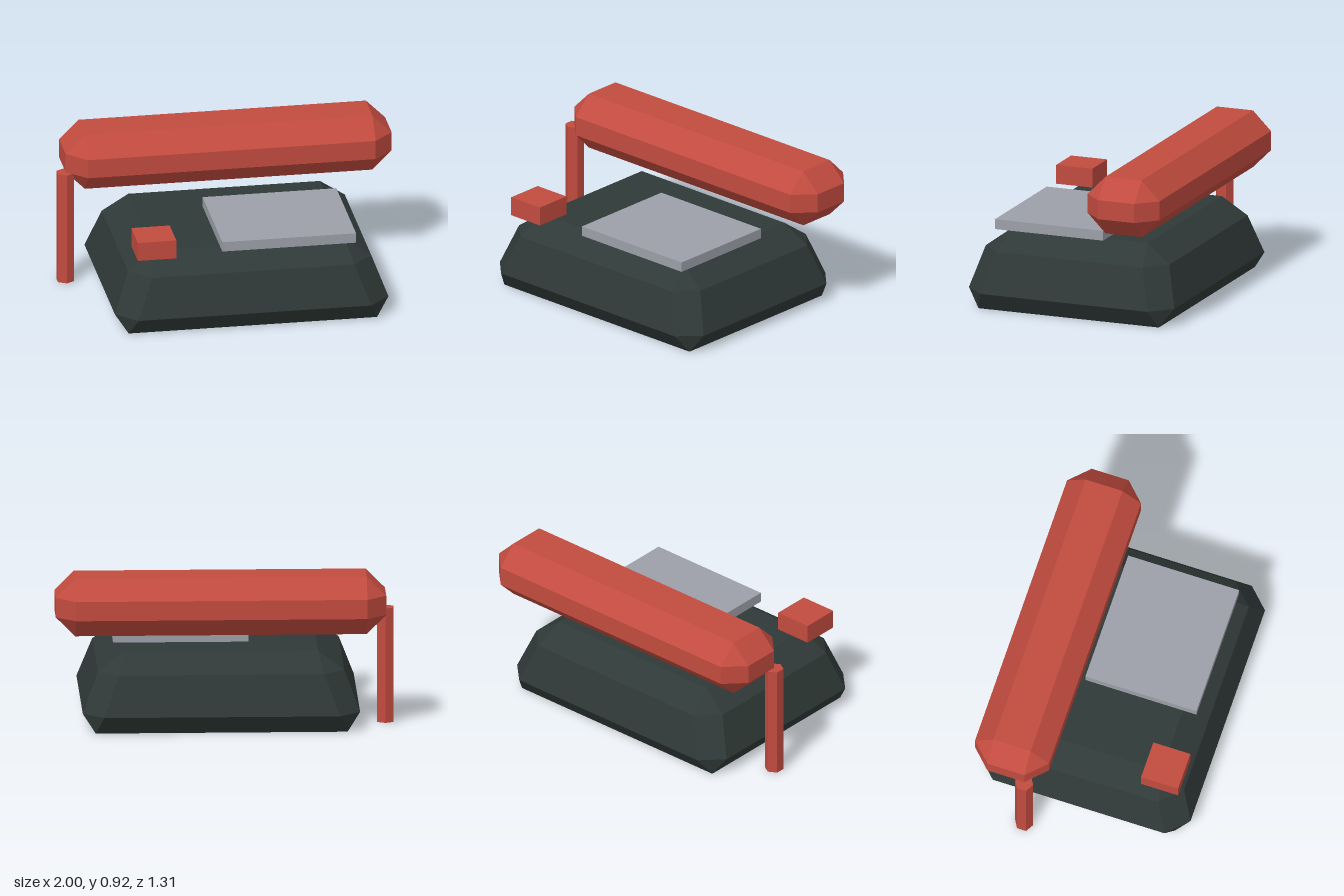
import * as THREE from 'three';
import { ConvexGeometry } from 'three/addons/geometries/ConvexGeometry.js';

const red = new THREE.MeshStandardMaterial({ name: 'red', color: 0xc24b3f, flatShading: true });
const dark = new THREE.MeshStandardMaterial({ name: 'darkGreen', color: 0x2f3937, flatShading: true });
const grey = new THREE.MeshStandardMaterial({ name: 'grey', color: 0x9c9fa8, flatShading: true });

function addMesh(group, name, geometry, material, x, y, z) {
  const mesh = new THREE.Mesh(geometry, material);
  mesh.name = name;
  mesh.position.set(x, y, z);
  group.add(mesh);
}

// Faceted block from levels [y, half width, half depth, corner cut in x, corner cut in z]
function chamferedBlock(levels) {
  const points = [];
  for (const [y, w, d, cx = 0, cz = 0] of levels) {
    for (const sx of [-1, 1]) for (const sz of [-1, 1]) {
      points.push(new THREE.Vector3(sx * w, y, sz * (d - cz)));
      if (cx > 0) points.push(new THREE.Vector3(sx * (w - cx), y, sz * d));
    }
  }
  return new ConvexGeometry(points);
}

export function createModel() {
  const model = new THREE.Group();
  model.name = 'deskPhone';

  // Tapered body with cut corners
  addMesh(model, 'body', chamferedBlock([
    [0, 0.743, 0.575],
    [0.11, 0.818, 0.655, 0.122, 0.122],
    [0.35, 0.727, 0.585, 0.122, 0.12],
    [0.46, 0.573, 0.435],
  ]), dark, 0.023, 0, 0);

  // Handset bar, evenly bevelled on every edge
  const bevel = 0.115;
  addMesh(model, 'handset', chamferedBlock([
    [-0.173, 0.86, 0.115],
    [-0.058, 0.975, 0.23, bevel, bevel],
    [0.058, 0.975, 0.23, bevel, bevel],
    [0.173, 0.86, 0.115],
  ]), red, 0.025, 0.748, -0.4);

  // Six-sided post at the side
  addMesh(model, 'post', new THREE.CylinderGeometry(0.056, 0.056, 0.69, 6), red, -0.952, 0.345, -0.286);

  // Raised panel and block on top of the body
  addMesh(model, 'panel', new THREE.BoxGeometry(0.8, 0.06, 0.69), grey, 0.25, 0.49, 0.173);
  addMesh(model, 'block', new THREE.BoxGeometry(0.23, 0.115, 0.23), red, -0.55, 0.518, 0.46);

  return model;
}
